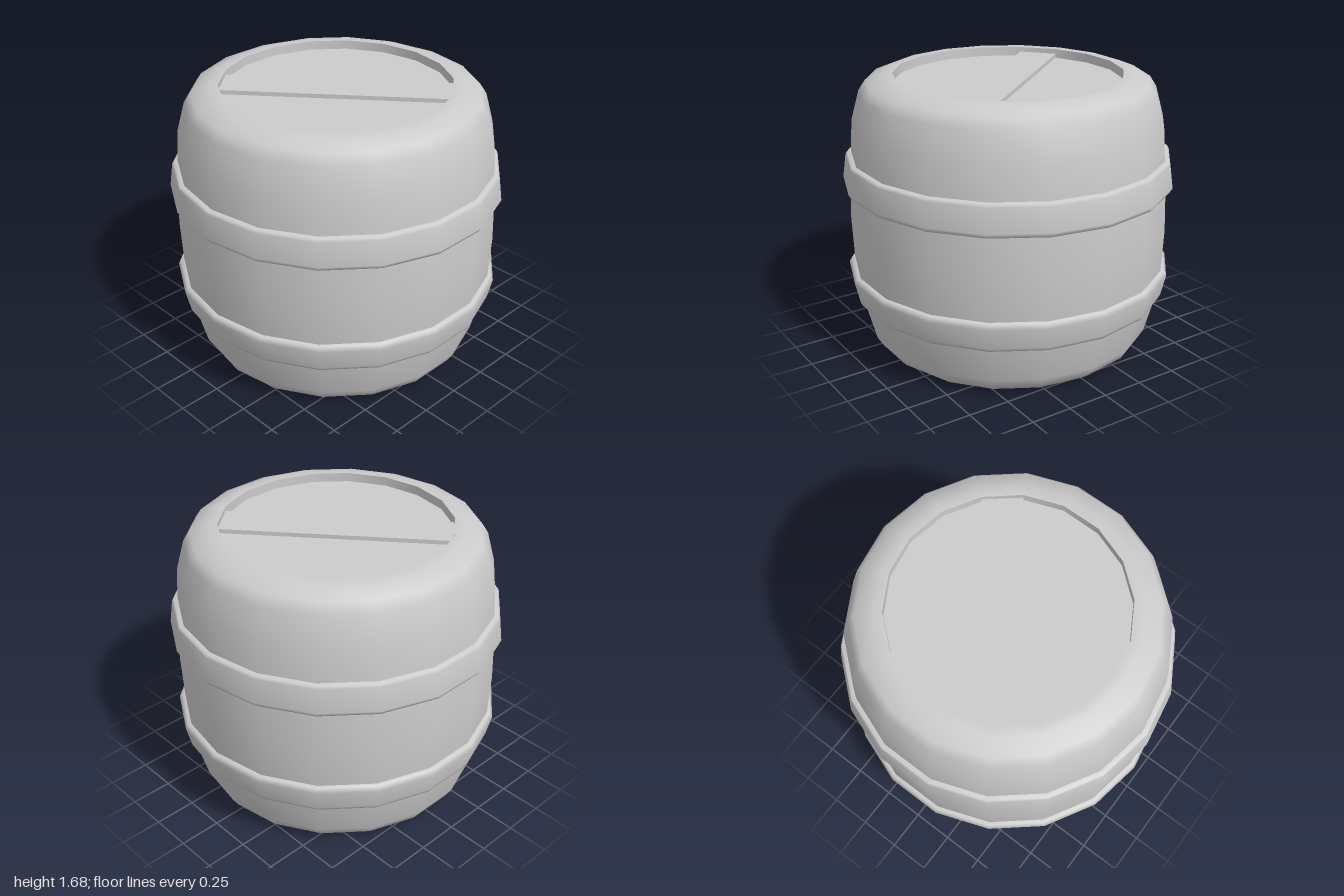
import * as THREE from 'three';

const SIDES = 18;
const material = new THREE.MeshStandardMaterial({ color: 0xcccccc });

// Revolve a [radius, height] profile, with a corner on the x axis
function turned(name, profile) {
  const points = profile.map(([r, y]) => new THREE.Vector2(r, y));
  const mesh = new THREE.Mesh(new THREE.LatheGeometry(points, SIDES, Math.PI / 2), material);
  mesh.name = name;
  return mesh;
}

export function createModel() {
  const group = new THREE.Group();
  group.name = 'barrel';
  const holeRadius = 0.68, topY = 1.68, lidY = 1.625;

  // Bulging body with a closed bottom and a rounded rim
  group.add(turned('body', [
    [0, 0], [0.77, 0], [0.835, 0.05], [0.87, 0.11], [0.93, 0.34], [0.955, 0.53], [0.965, 0.78],
    [0.957, 1.02], [0.943, 1.21], [0.93, 1.4], [0.88, 1.58], [0.84, 1.64], [0.74, topY], [holeRadius, topY],
  ]));

  // Inner wall of the rim
  group.add(turned('rimWall', [[holeRadius, topY], [holeRadius, lidY]]));

  // Hoops, each widest on the edge nearer the middle
  group.add(turned('upperHoop', [
    [0.945, 1.018], [0.98, 1.022], [0.997, 1.05], [0.977, 1.19], [0.967, 1.206], [0.935, 1.21],
  ]));
  group.add(turned('lowerHoop', [
    [0.92, 0.336], [0.95, 0.34], [0.96, 0.36], [0.99, 0.49], [0.974, 0.517], [0.945, 0.52],
  ]));

  // Recessed lid
  const lid = new THREE.Mesh(new THREE.CircleGeometry(holeRadius, SIDES), material);
  lid.name = 'lid';
  lid.rotation.x = -Math.PI / 2;
  lid.position.y = lidY;
  group.add(lid);

  // Raised plank joining two opposite sides of the rim
  const plankLength = 2 * holeRadius * Math.cos(Math.PI / SIDES);
  const plankWidth = 2 * holeRadius * Math.sin(Math.PI / SIDES);
  const plank = new THREE.Mesh(new THREE.BoxGeometry(plankLength, 0.03, plankWidth), material);
  plank.name = 'lidPlank';
  plank.rotation.y = -THREE.MathUtils.degToRad(50);
  plank.position.y = lidY + 0.01;
  group.add(plank);

  return group;
}
